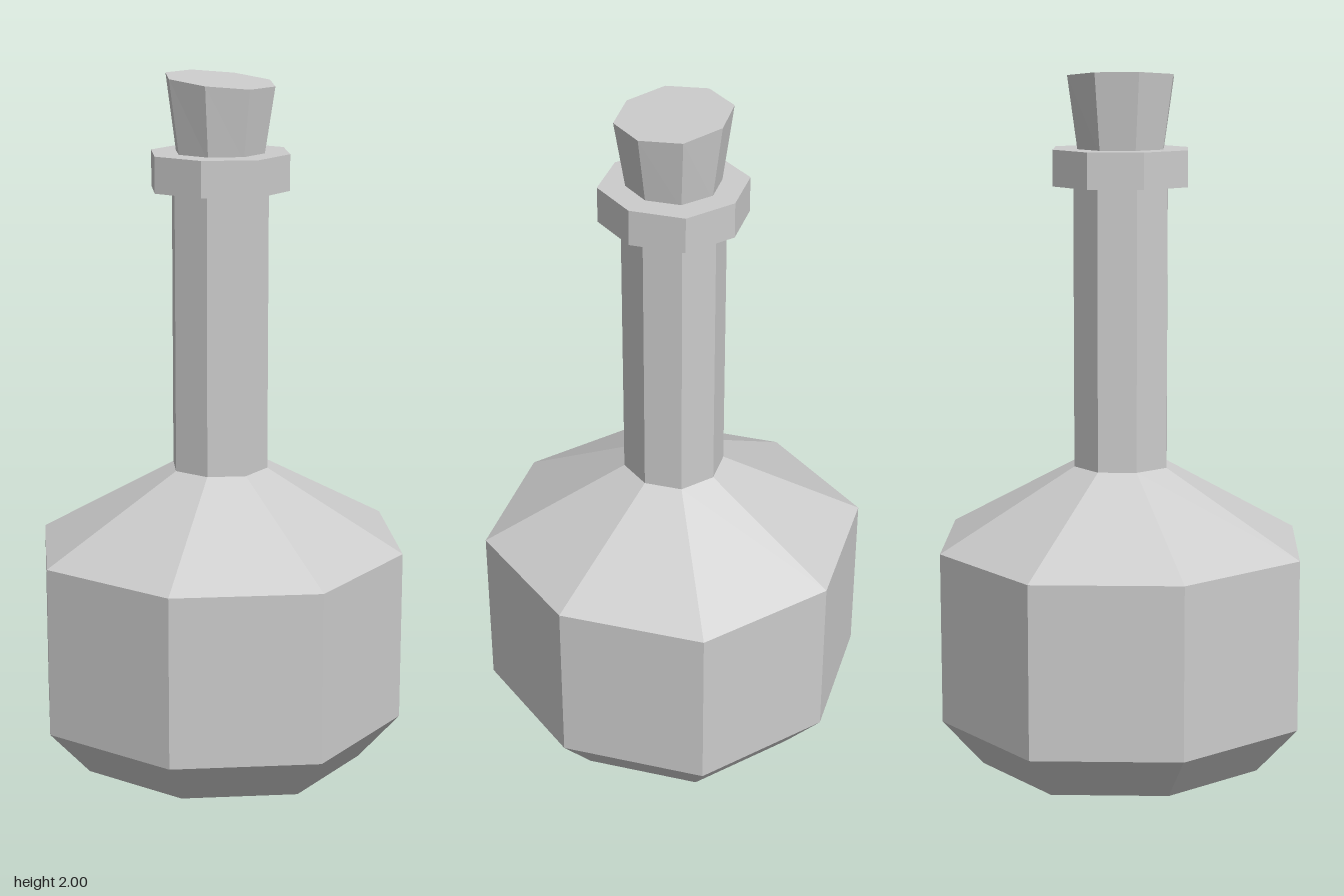
import * as THREE from 'three';

const material = new THREE.MeshStandardMaterial({
  color: 0xcccccc, flatShading: true, side: THREE.DoubleSide,
});

// Eight-sided lathe with corners on the axes; diagonal corners sit slightly inward.
function octagonPart(name, profile, diagonal = 0.965) {
  const points = profile.map(([r, y]) => new THREE.Vector2(r, y));
  const geometry = new THREE.LatheGeometry(points, 8);
  const pos = geometry.attributes.position;
  for (let i = 0; i < pos.count; i++) {
    const column = Math.floor(i / points.length);
    if (column % 2 === 1) {
      pos.setX(i, pos.getX(i) * diagonal);
      pos.setZ(i, pos.getZ(i) * diagonal);
    }
  }
  geometry.computeVertexNormals();
  const mesh = new THREE.Mesh(geometry, material);
  mesh.name = name;
  return mesh;
}

export function createModel() {
  const group = new THREE.Group();
  group.name = 'corkedFlask';

  // Belly with bevelled base and sloping shoulder
  group.add(octagonPart('body', [
    [0, 0], [0.44, 0], [0.565, 0.14], [0.565, 0.64], [0.147, 0.87],
  ]));

  // Straight neck
  group.add(octagonPart('neck', [[0.147, 0.87], [0.147, 1.68]]));

  // Collar around the mouth
  group.add(octagonPart('collar', [
    [0.147, 1.68], [0.21, 1.68], [0.21, 1.783], [0, 1.783],
  ]));

  // Tapered cork, its top leaning up toward the back and right side
  const cork = octagonPart('cork', [[0.131, 1.77], [0.163, 1.985], [0, 1.985]], 0.975);
  const pos = cork.geometry.attributes.position;
  for (let i = 0; i < pos.count; i++) {
    if (pos.getY(i) > 1.9) {
      pos.setY(i, 1.985 - 0.09 * pos.getZ(i) - 0.05 * pos.getX(i));
    }
  }
  cork.geometry.computeVertexNormals();
  group.add(cork);

  return group;
}
